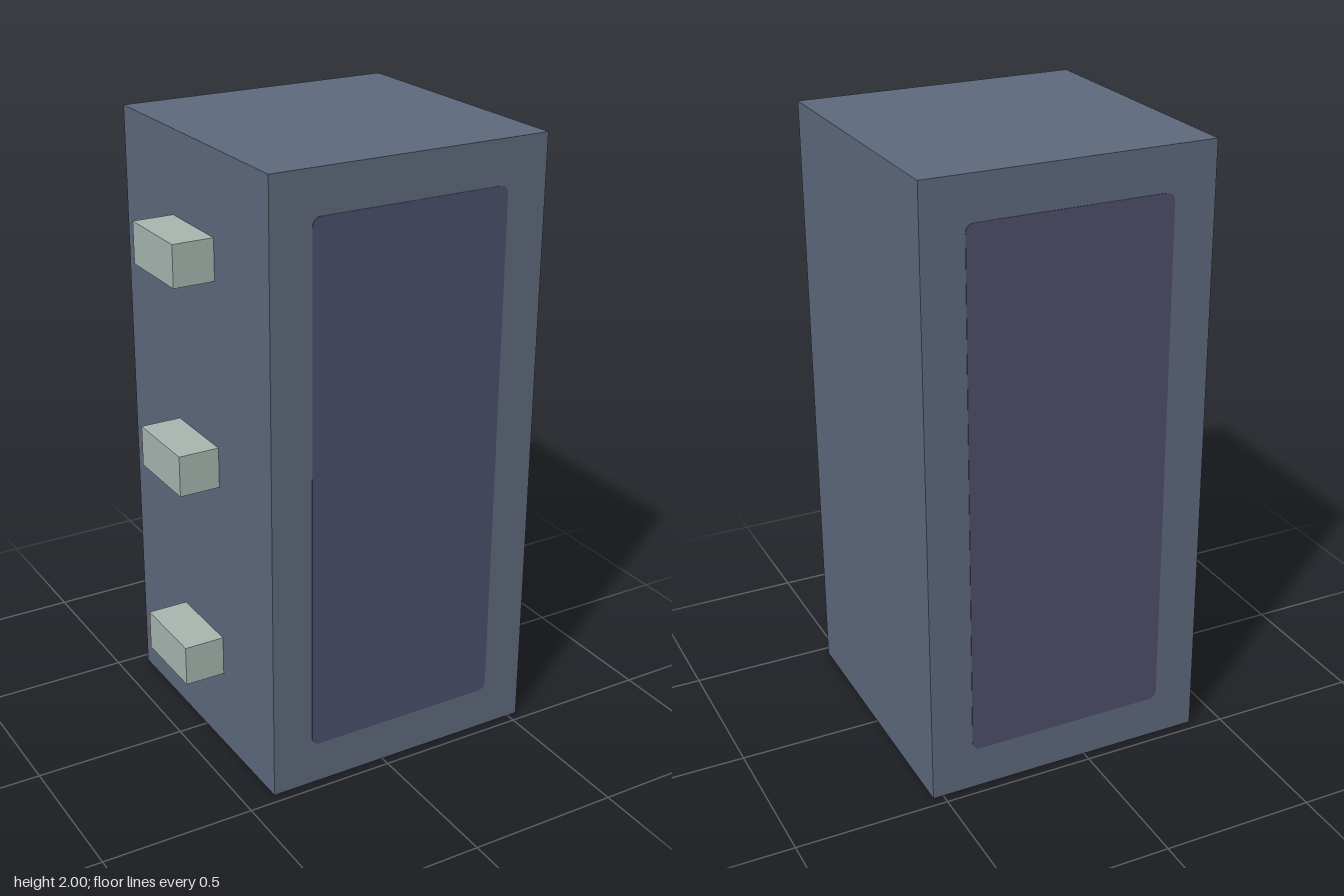
import * as THREE from 'three';

const material = (name, color) => {
  const m = new THREE.MeshStandardMaterial({ color });
  m.name = name;
  return m;
};

// Flat rectangle outline with rounded corners, centred on the origin
function roundedRect(w, h, r) {
  const s = new THREE.Shape();
  const x = w / 2 - r, y = h / 2 - r;
  s.absarc(x, y, r, 0, Math.PI / 2);
  s.absarc(-x, y, r, Math.PI / 2, Math.PI);
  s.absarc(-x, -y, r, Math.PI, Math.PI * 1.5);
  s.absarc(x, -y, r, Math.PI * 1.5, Math.PI * 2);
  s.closePath();
  return s;
}

export function createModel() {
  const slate = material('slate blue', 0x5f6a7e);
  const plum = material('dark plum', 0x4d4f6c);
  const sage = material('pale sage', 0xa9b7b1);

  const model = new THREE.Group();
  model.name = 'cabinet';
  const add = (name, geometry, mat, x, y, z) => {
    const mesh = new THREE.Mesh(geometry, mat);
    mesh.name = name;
    mesh.position.set(x, y, z);
    model.add(mesh);
    return mesh;
  };

  // Main body, offset to leave room for the side blocks
  const size = 0.933, centreX = 0.067;
  add('body', new THREE.BoxGeometry(size, 2, size), slate, centreX, 1, 0);

  // Thin inset panels on the front and back
  const panel = new THREE.ExtrudeGeometry(roundedRect(0.66, 1.72, 0.027), {
    depth: 0.002, bevelEnabled: false, curveSegments: 4,
  });
  add('frontPanel', panel, plum, centreX, 1, size / 2);
  add('backPanel', panel, plum, centreX, 1, -size / 2).rotation.y = Math.PI;

  // Three blocks standing out from the right side
  const block = new THREE.BoxGeometry(0.133, 0.133, 0.267);
  ['lowerBlock', 'middleBlock', 'upperBlock'].forEach((name, i) =>
    add(name, block, sage, -0.4665, 0.333 + i * 0.667, 0));

  return model;
}
